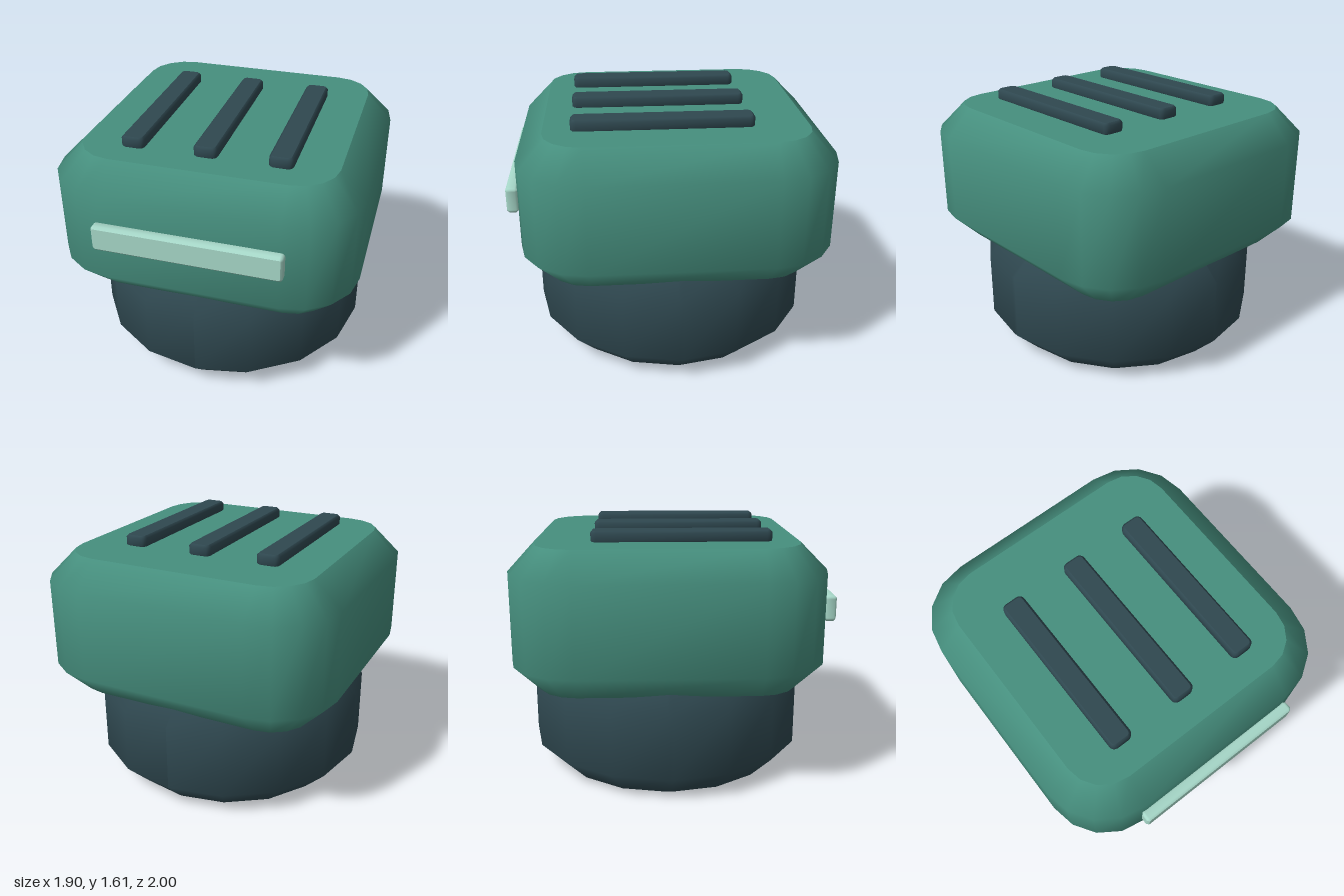
import * as THREE from 'three';

const CORNER_STEPS = 4;

// Rounded-rectangle slab standing on y = 0, chamfered at top and bottom,
// smooth around its sides with crisp flat caps.
function slabGeometry(w, d, h, radius, bevel) {
  const positions = [], index = [];
  const addRing = (y, inset) => {
    const start = positions.length / 3;
    for (let corner = 0; corner < 4; corner++) {
      const sx = corner === 0 || corner === 3 ? 1 : -1;
      const sz = corner < 2 ? 1 : -1;
      for (let i = 0; i <= CORNER_STEPS; i++) {
        const a = (corner + i / CORNER_STEPS) * Math.PI / 2;
        positions.push(
          sx * (w / 2 - radius) + Math.cos(a) * (radius - inset), y,
          sz * (d / 2 - radius) + Math.sin(a) * (radius - inset));
      }
    }
    return start;
  };
  const n = 4 * (CORNER_STEPS + 1);

  // side walls and chamfers
  const rows = [[0, bevel], [bevel, 0], [h - bevel, 0], [h, bevel]].map(([y, inset]) => addRing(y, inset));
  for (let r = 0; r < rows.length - 1; r++) {
    for (let i = 0; i < n; i++) {
      const j = (i + 1) % n;
      const a = rows[r] + i, b = rows[r] + j, c = rows[r + 1] + i, e = rows[r + 1] + j;
      index.push(a, c, b, b, c, e);
    }
  }
  // caps with their own vertices
  const bottom = addRing(0, bevel), top = addRing(h, bevel);
  for (let i = 1; i < n - 1; i++) {
    index.push(bottom, bottom + i, bottom + i + 1, top, top + i + 1, top + i);
  }

  const geometry = new THREE.BufferGeometry();
  geometry.setAttribute('position', new THREE.Float32BufferAttribute(positions, 3));
  geometry.setIndex(index);
  geometry.computeVertexNormals();
  return geometry;
}

export function createModel() {
  const group = new THREE.Group();
  const material = (name, color) => {
    const m = new THREE.MeshStandardMaterial({ color });
    m.name = name;
    return m;
  };
  const green = material('green', 0x468f7e);
  const dark = material('darkSlate', 0x2f4850);
  const mint = material('paleMint', 0xa6d7c8);

  const add = (name, geometry, mat, x, y, z) => {
    const mesh = new THREE.Mesh(geometry, mat);
    mesh.name = name;
    mesh.position.set(x, y, z);
    group.add(mesh);
    return mesh;
  };

  // round base and square upper body
  add('base', slabGeometry(1.79, 1.82, 0.735, 0.895, 0.155), dark, 0, 0, -0.03);
  add('body', slabGeometry(1.9, 1.934, 0.893, 0.415, 0.168), green, 0, 0.65, -0.033);

  // three raised bars on the top
  const bar = slabGeometry(0.146, 1.1, 0.075, 0.035, 0.014);
  [-0.45, 0, 0.45].forEach((x, i) => add('topBar' + (i + 1), bar, dark, x, 1.535, 0.05));

  // pale strip on the front
  const strip = slabGeometry(1.145, 0.163, 0.07, 0.022, 0.014);
  add('frontStrip', strip, mint, 0, 1.134, 0.93).rotation.x = Math.PI / 2;

  return group;
}
